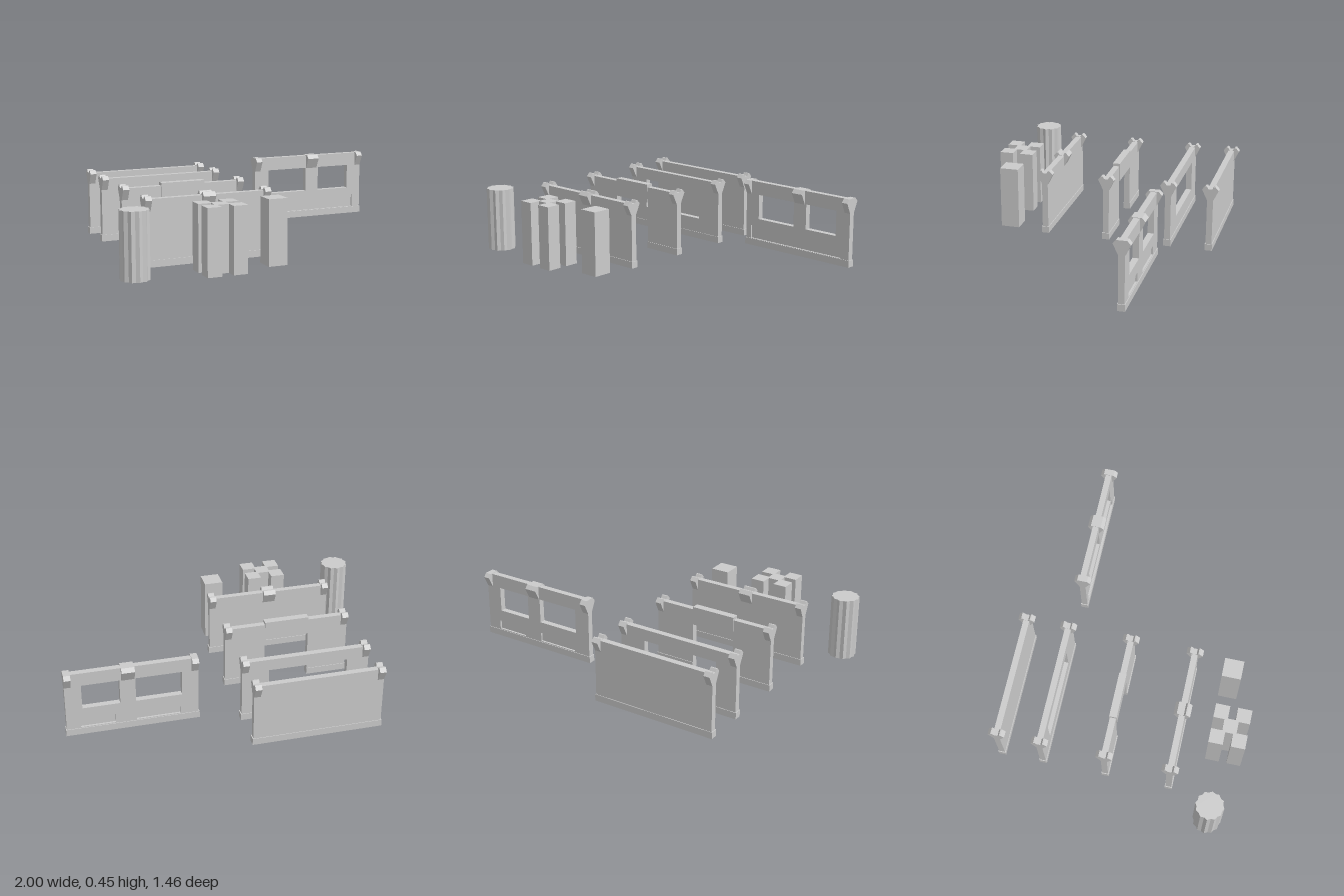
import * as THREE from 'three';

const material = new THREE.MeshStandardMaterial({ color: 0xcccccc, flatShading: true });
const WIDTH = 0.77, WEB = 0.036, BASE = 0.044, BASE_H = 0.04;

function add(parent, name, geometry, x = 0, y = 0, z = 0) {
  const mesh = new THREE.Mesh(geometry, material);
  mesh.name = name;
  mesh.position.set(x, y, z);
  parent.add(mesh);
  return mesh;
}

// Box given by its low and high corners
function addBox(parent, name, [x0, y0, z0], [x1, y1, z1]) {
  return add(parent, name, new THREE.BoxGeometry(x1 - x0, y1 - y0, z1 - z0),
    (x0 + x1) / 2, (y0 + y1) / 2, (z0 + z1) / 2);
}

function polygon(points) {
  return new THREE.Shape(points.map(([x, y]) => new THREE.Vector2(x, y)));
}

const rect = ([x0, y0, x1, y1]) => polygon([[x0, y0], [x1, y0], [x1, y1], [x0, y1]]);

// Flat plate with rectangular holes, extruded along z
function plate(outline, holes, depth) {
  const shape = rect(outline);
  shape.holes.push(...holes.map(rect));
  return new THREE.ExtrudeGeometry(shape, { depth, bevelEnabled: false });
}

// Flared clip on the top edge; its profile lies in the zy plane
function addClip(parent, name, x, width, notched, top) {
  const half = [[0.016, top - 0.09], [0.049, top - 0.022], [0.03, top]];
  if (notched) half.push([0.021, top], [0.011, top - 0.016]);
  const mirrored = half.map(([z, y]) => [-z, y]).reverse();
  const geometry = new THREE.ExtrudeGeometry(polygon([...half, ...mirrored]),
    { depth: width, bevelEnabled: false });
  geometry.rotateY(-Math.PI / 2);
  return add(parent, name, geometry, x + width / 2);
}

function wallPanel(name, x, y, z, { holes = [], centreClip, top = 0.385, door, notched = true }) {
  const wall = new THREE.Group();
  wall.name = name;
  wall.position.set(x, y, z);
  const h = WIDTH / 2, w = WEB / 2, b = BASE / 2;
  const spans = door ? [[-h, door[0]], [door[1], h]] : [[-h, h]];
  for (const [x0, x1] of spans) {
    const a = x0 === -h ? x0 + 0.005 : x0, c = x1 === h ? x1 - 0.005 : x1;
    add(wall, 'panel', plate([a, BASE_H, c, top], holes, WEB), 0, 0, -w);
    addBox(wall, 'baseRail', [x0, 0, -b], [x1, BASE_H, b]);
  }
  if (door) addBox(wall, 'doorHeader', [door[0], 0.29, -b], [door[1], 0.402, b]);
  for (const side of [-1, 1]) addClip(wall, 'endClip', side * (h - 0.024), 0.038, notched, 0.403);
  if (centreClip !== undefined) addClip(wall, 'centreClip', centreClip, 0.075, notched, 0.403);
  return wall;
}

// Wall with two windows and a long slot, closed by an inner plate
function slottedWall(x, y, z) {
  const wall = wallPanel('twinWindowWall', x, y, z, {
    holes: [], top: 0.4, centreClip: 0.022, notched: false,
  });
  wall.remove(wall.getObjectByName('panel'));
  const outline = [-0.38, BASE_H, 0.38, 0.4];
  const windows = [[-0.285, 0.17, -0.02, 0.32], [0.07, 0.17, 0.285, 0.32]];
  const frontSlot = [-0.345, 0.04 + 0.002, 0.325, 0.122];
  const backSlots = [[-0.275, 0.045, -0.02, 0.1], [0.1, 0.045, 0.3, 0.1]];
  add(wall, 'frontPanel', plate(outline, [...windows, frontSlot], 0.012), 0, 0, 0.006);
  add(wall, 'innerPanel', plate(outline, windows, 0.012), 0, 0, -0.006);
  add(wall, 'backPanel', plate(outline, [...windows, ...backSlots], 0.012), 0, 0, -0.018);
  return wall;
}

// Column with alternating ridges and grooves
function flutedColumn() {
  const points = Array.from({ length: 24 }, (_, i) => {
    const a = i * Math.PI / 12, r = i % 2 ? 0.075 : 0.083;
    return [r * Math.cos(a), r * Math.sin(a)];
  });
  const geometry = new THREE.ExtrudeGeometry(polygon(points), { depth: 0.38, bevelEnabled: false });
  return geometry.rotateX(-Math.PI / 2);
}

export function createModel() {
  const model = new THREE.Group();
  model.name = 'wallKit';
  const X = -0.395;

  // Row of wall panels
  model.add(wallPanel('plainWall', X, 0, -0.682, {}));
  model.add(wallPanel('windowWall', X, 0, -0.43, { holes: [[-0.25, 0.13, 0.22, 0.315]] }));
  model.add(wallPanel('doorWall', X, 0, -0.05, { door: [-0.135, 0.135] }));
  model.add(wallPanel('clippedWall', X, 0, 0.334, { centreClip: 0 }));
  model.add(slottedWall(0.615, 0.05, -0.408));

  // Columns
  add(model, 'flutedColumn', flutedColumn(), -0.915, 0.005, 0.593);
  addBox(model, 'squareColumn', [-0.147, 0.005, 0.513], [-0.034, 0.385, 0.627]);
  const cluster = new THREE.Group();
  cluster.name = 'clusterColumn';
  cluster.position.set(-0.436, 0.195, 0.62);
  const shaft = new THREE.BoxGeometry(0.084, 0.38, 0.084);
  add(cluster, 'centreShaft', shaft);
  for (const sx of [-1, 1]) for (const sz of [-1, 1]) {
    add(cluster, 'cornerShaft', shaft, sx * 0.076, 0, sz * 0.065);
  }
  model.add(cluster);
  return model;
}
